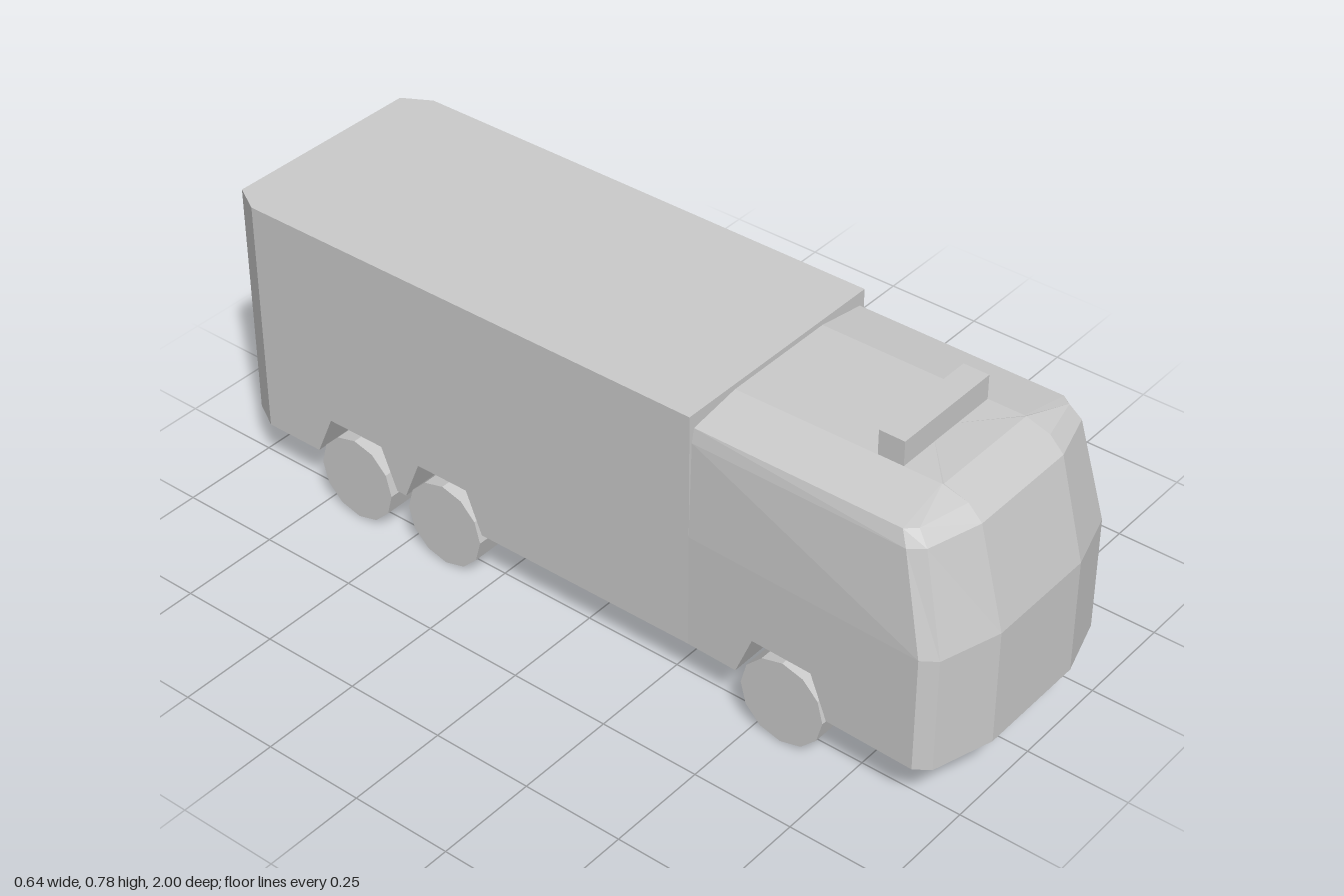
import * as THREE from 'three';

const material = new THREE.MeshStandardMaterial({ color: 0xcccccc, flatShading: true });

// Half plan of the body at skirt height: [half width, z] from back to front
const PLAN = [[0.26, -1], [0.3, -0.93], [0.3, 0.32], [0.32, 0.92], [0.295, 0.955], [0.145, 1]];
const BOTTOM = 0.13, ARCH_TOP = 0.235, INNER = 0.187;

function halfWidth(z) {
  for (let i = 1; i < PLAN.length; i++) {
    const [x0, z0] = PLAN[i - 1], [x1, z1] = PLAN[i];
    if (z <= z1) return x0 + (x1 - x0) * (z - z0) / (z1 - z0);
  }
  return PLAN[PLAN.length - 1][0];
}

// Closed solid through rings; each ring is the +x half as [x, y, z], back to front
function loft(name, halves) {
  const rings = halves.map(h => [...h, ...h.map(([x, y, z]) => [-x, y, z]).reverse()]);
  const n = rings[0].length, pos = [];
  const tri = (a, b, c) => pos.push(...a, ...b, ...c);
  for (let r = 0; r + 1 < rings.length; r++) {
    for (let i = 0; i < n; i++) {
      const j = (i + 1) % n;
      const a = rings[r][i], b = rings[r][j], c = rings[r + 1][j], d = rings[r + 1][i];
      tri(a, d, c);
      tri(a, c, b);
    }
  }
  const cap = (ring, top) => {
    const mid = [0, 1, 2].map(k => ring.reduce((s, p) => s + p[k], 0) / n);
    ring.forEach((p, i) => {
      const q = ring[(i + 1) % n];
      if (top) tri(mid, q, p); else tri(mid, p, q);
    });
  };
  cap(rings[0], false);
  cap(rings[rings.length - 1], true);
  const geometry = new THREE.BufferGeometry();
  geometry.setAttribute('position', new THREE.Float32BufferAttribute(pos, 3));
  geometry.computeVertexNormals();
  const mesh = new THREE.Mesh(geometry, material);
  mesh.name = name;
  return mesh;
}

export function createModel() {
  const group = new THREE.Group();
  group.name = 'truck';

  // Rear box with chamfered back corners
  const boxRing = y => PLAN.slice(0, 3).map(([x, z]) => [x, y, z]);
  group.add(loft('rearBody', [boxRing(ARCH_TOP), boxRing(0.73)]));

  // Cab: straight up to the belt line, then leaning in to a bevelled roof
  const cabRing = y => PLAN.slice(2).map(([x, z]) => [x, y, z]);
  group.add(loft('cab', [
    cabRing(ARCH_TOP),
    cabRing(0.42),
    [[0.292, 0.66, 0.32], [0.297, 0.66, 0.86], [0.275, 0.664, 0.895], [0.145, 0.668, 0.935]],
    [[0.285, 0.695, 0.32], [0.285, 0.695, 0.842], [0.265, 0.697, 0.868], [0.145, 0.703, 0.9]],
    [[0.15, 0.717, 0.32], [0.147, 0.72, 0.835], [0.146, 0.72, 0.837], [0.145, 0.721, 0.84]],
  ]));

  // Skirt: full-width pieces alternate with narrow ones that form the wheel arches
  // Each cut is [z at the bottom, z at the arch top]
  const cuts = [[-1, -1], [-0.773, -0.727], [-0.527, -0.57], [-0.5, -0.457], [-0.27, -0.313],
    [0.452, 0.495], [0.697, 0.652], [1, 1]];
  for (let i = 0; i + 1 < cuts.length; i++) {
    const isArch = i % 2 === 1;
    const ring = (y, k) => {
      const z0 = cuts[i][k], z1 = cuts[i + 1][k];
      if (isArch) return [[INNER, y, z0], [INNER, y, z1]];
      const inside = PLAN.map(p => p[1]).filter(z => z > z0 && z < z1);
      return [z0, ...inside, z1].map(z => [halfWidth(z), y, z]);
    };
    group.add(loft(isArch ? 'wheelArchCore' : 'skirt', [ring(BOTTOM, 0), ring(ARCH_TOP, 1)]));
  }

  // Three axles of twelve-sided wheels
  const wheelGeometry = new THREE.CylinderGeometry(0.108, 0.108, 0.118, 12).rotateZ(Math.PI / 2);
  for (const [axle, z] of [['front', 0.575], ['middle', -0.38], ['rear', -0.65]]) {
    for (const side of [1, -1]) {
      const wheel = new THREE.Mesh(wheelGeometry, material);
      wheel.name = `${axle}Wheel${side > 0 ? 'Left' : 'Right'}`;
      wheel.position.set(side * 0.246, 0.108, z);
      group.add(wheel);
    }
  }

  // Light bar on the cab roof
  const lightBar = new THREE.Mesh(new THREE.BoxGeometry(0.294, 0.065, 0.064), material);
  lightBar.name = 'lightBar';
  lightBar.position.set(0, 0.7475, 0.712);
  group.add(lightBar);

  return group;
}
